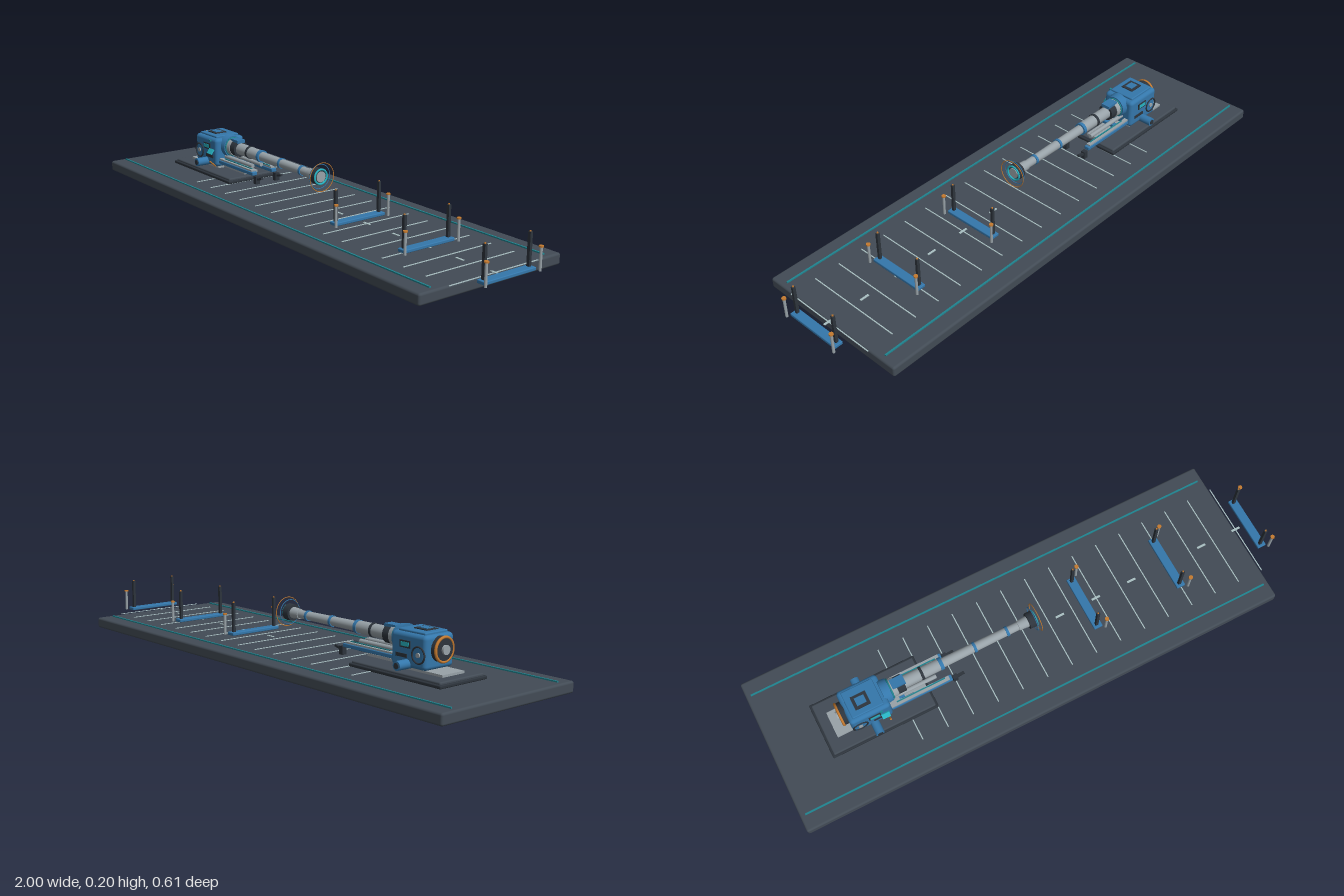
import * as THREE from 'three';
import { RoundedBoxGeometry } from 'three/addons/geometries/RoundedBoxGeometry.js';

const mat = (name, color) => Object.assign(new THREE.MeshStandardMaterial({ color }), { name });

export function createModel() {
  const slate = mat('slate', 0x424b55), dark = mat('dark metal', 0x2d343c), blue = mat('blue paint', 0x3477ab);
  const steel = mat('steel', 0x98a2a8), cyan = mat('cyan', 0x27b3c2), teal = mat('teal', 0x1f8490);
  const orange = mat('orange', 0xc47a30), pale = mat('pale marking', 0xa9bfc2);
  const root = new THREE.Group();
  root.name = 'rangeModel';

  const add = (parent, name, geo, m, x, y, z) => {
    const mesh = new THREE.Mesh(geo, m);
    mesh.name = name;
    mesh.position.set(x, y, z);
    parent.add(mesh);
    return mesh;
  };
  const box = (p, name, m, w, h, d, x, y, z) => add(p, name, new THREE.BoxGeometry(w, h, d), m, x, y, z);
  const round = (p, name, m, w, h, d, r, x, y, z) => add(p, name, new RoundedBoxGeometry(w, h, d, 3, r), m, x, y, z);
  const cyl = (p, name, m, r1, r2, len, axis, x, y, z, seg = 24) => {
    const g = new THREE.CylinderGeometry(r1, r2, len, seg);
    if (axis === 'x') g.rotateZ(-Math.PI / 2);
    if (axis === 'z') g.rotateX(Math.PI / 2);
    return add(p, name, g, m, x, y, z);
  };
  const ring = (p, name, m, r, t, axis, x, y, z) => {
    const g = new THREE.TorusGeometry(r, t, 8, 40);
    if (axis === 'x') g.rotateY(Math.PI / 2);
    return add(p, name, g, m, x, y, z);
  };

  // Ground slab, edge strips and range markings
  const ground = new THREE.Group();
  ground.name = 'ground';
  root.add(ground);
  round(ground, 'slab', slate, 1.91, 0.04, 0.605, 0.008, -0.045, 0.02, 0);
  for (const s of [-1, 1]) box(ground, 'edgeStrip', teal, 1.87, 0.005, 0.006, -0.045, 0.042, s * 0.243);
  for (let i = 0; i < 15; i++) box(ground, 'rangeLine', pale, 0.004, 0.002, 0.38, -0.5 + i * 0.101, 0.041, 0);
  for (let i = 0; i < 6; i++) box(ground, 'centreDash', pale, 0.035, 0.002, 0.008, 0.155 + i * 0.152, 0.0415, 0);

  // Three target gates
  for (const x of [0.258, 0.61, 0.963]) {
    const gate = new THREE.Group();
    gate.name = 'gate';
    gate.position.x = x;
    root.add(gate);
    round(gate, 'gateBar', blue, 0.034, 0.012, 0.22, 0.003, 0, 0.048, 0);
    for (const s of [-1, 1]) {
      box(gate, 'gatePost', dark, 0.011, 0.112, 0.01, -0.002, 0.109, s * 0.096);
      cyl(gate, 'postTip', orange, 0.003, 0.003, 0.004, 'y', -0.002, 0.167, s * 0.096, 10);
      cyl(gate, 'peg', steel, 0.005, 0.005, 0.077, 'y', 0.026, 0.081, s * 0.116, 12);
      cyl(gate, 'pegCap', orange, 0.008, 0.008, 0.005, 'y', 0.026, 0.1215, s * 0.116, 12);
    }
  }

  // Mounting pad
  const gun = new THREE.Group();
  gun.name = 'cannon';
  root.add(gun);
  round(gun, 'padSkirt', dark, 0.415, 0.012, 0.216, 0.004, -0.603, 0.046, 0);
  round(gun, 'pad', slate, 0.4, 0.02, 0.202, 0.005, -0.603, 0.05, 0);
  box(gun, 'rearPlate', steel, 0.2, 0.008, 0.1, -0.665, 0.064, 0);

  // Receiver housing with panels, hatch and trunnions
  round(gun, 'housing', blue, 0.155, 0.113, 0.132, 0.014, -0.628, 0.126, 0);
  round(gun, 'roof', blue, 0.12, 0.014, 0.104, 0.004, -0.63, 0.183, 0);
  box(gun, 'hatchFrame', dark, 0.058, 0.006, 0.052, -0.638, 0.19, 0.005);
  box(gun, 'hatch', blue, 0.036, 0.004, 0.03, -0.638, 0.193, 0.005);
  box(gun, 'pedestal', dark, 0.1, 0.022, 0.09, -0.63, 0.069, 0);
  cyl(gun, 'trunnion', blue, 0.016, 0.016, 0.226, 'z', -0.625, 0.082, 0);
  for (const s of [-1, 1]) {
    cyl(gun, 'trunnionCap', dark, 0.01, 0.01, 0.003, 'z', -0.625, 0.082, s * 0.114);
    ring(gun, 'sideDial', dark, 0.027, 0.003, 'z', -0.675, 0.118, s * 0.067);
    cyl(gun, 'dialHub', steel, 0.008, 0.008, 0.006, 'z', -0.675, 0.118, s * 0.068);
    box(gun, 'windowFrame', dark, 0.046, 0.024, 0.004, -0.617, 0.146, s * 0.067);
    box(gun, 'window', cyan, 0.036, 0.014, 0.003, -0.617, 0.146, s * 0.069);
    box(gun, 'sidePanel', dark, 0.05, 0.012, 0.003, -0.6, 0.108, s * 0.067);
  }
  // Sight and crank on the left side
  box(gun, 'sight', cyan, 0.03, 0.022, 0.006, -0.58, 0.13, 0.075).rotation.x = -0.6;
  box(gun, 'sightTip', teal, 0.01, 0.006, 0.006, -0.59, 0.172, 0.07);
  const crank = cyl(gun, 'crank', orange, 0.003, 0.003, 0.036, 'y', -0.57, 0.081, 0.072, 10);
  crank.rotation.x = 0.85;

  // Breech at the rear
  cyl(gun, 'breech', dark, 0.042, 0.042, 0.026, 'x', -0.714, 0.136, 0, 32);
  ring(gun, 'breechRing', orange, 0.04, 0.005, 'x', -0.724, 0.136, 0);
  cyl(gun, 'breechHub', steel, 0.016, 0.016, 0.01, 'x', -0.73, 0.136, 0);

  // Recoil rails and front feet
  for (const s of [-1, 1]) {
    round(gun, 'railBeam', blue, 0.24, 0.014, 0.022, 0.003, -0.43, 0.091, s * 0.045);
    box(gun, 'railTop', steel, 0.23, 0.006, 0.016, -0.435, 0.101, s * 0.045);
    box(gun, 'railStrip', teal, 0.19, 0.004, 0.004, -0.43, 0.105, s * 0.041);
    box(gun, 'foot', dark, 0.018, 0.03, 0.018, -0.298, 0.07, s * 0.045);
    box(gun, 'footToe', dark, 0.045, 0.008, 0.01, -0.284, 0.076, s * 0.045).rotation.z = 0.25;
    cyl(gun, 'recoilTube', steel, 0.008, 0.008, 0.2, 'x', -0.46, 0.108, s * 0.02, 16);
  }
  box(gun, 'recoilPlate', steel, 0.15, 0.01, 0.06, -0.48, 0.071, 0);
  box(gun, 'railBridge', blue, 0.02, 0.01, 0.1, -0.5, 0.09, 0);

  // Barrel: [name, material, rear radius, front radius, start, end]
  const y = 0.15;
  const parts = [
    ['collar', blue, 0.046, 0.042, -0.56, -0.53], ['mantle', steel, 0.036, 0.034, -0.53, -0.505],
    ['mantleBand', dark, 0.032, 0.032, -0.505, -0.475], ['sleeve', steel, 0.023, 0.022, -0.475, -0.33],
    ['sleeveBand', dark, 0.025, 0.025, -0.41, -0.4], ['sleeveEnd', blue, 0.024, 0.024, -0.335, -0.322],
    ['barrel', steel, 0.018, 0.015, -0.33, 0.03], ['barrelBand', blue, 0.02, 0.02, -0.2, -0.19],
    ['barrelBand', blue, 0.019, 0.019, -0.07, -0.06], ['muzzleNeck', steel, 0.018, 0.021, -0.02, 0.02],
    ['muzzle', dark, 0.03, 0.031, 0.018, 0.046], ['bore', steel, 0.02, 0.02, 0.04, 0.0485],
  ];
  for (const [name, m, r1, r2, a, b] of parts) cyl(gun, name, m, r2, r1, b - a, 'x', (a + b) / 2, y, 0, 28);
  box(gun, 'mantleLug', blue, 0.05, 0.012, 0.036, -0.495, 0.18, 0);
  ring(gun, 'muzzleGlow', cyan, 0.027, 0.004, 'x', 0.046, y, 0);
  ring(gun, 'collarGlow', teal, 0.036, 0.003, 'x', -0.527, y, 0);
  ring(gun, 'innerHoop', blue, 0.045, 0.0015, 'x', 0.04, y, 0);
  ring(gun, 'outerHoop', orange, 0.053, 0.0014, 'x', 0.053, y, 0);
  return root;
}
